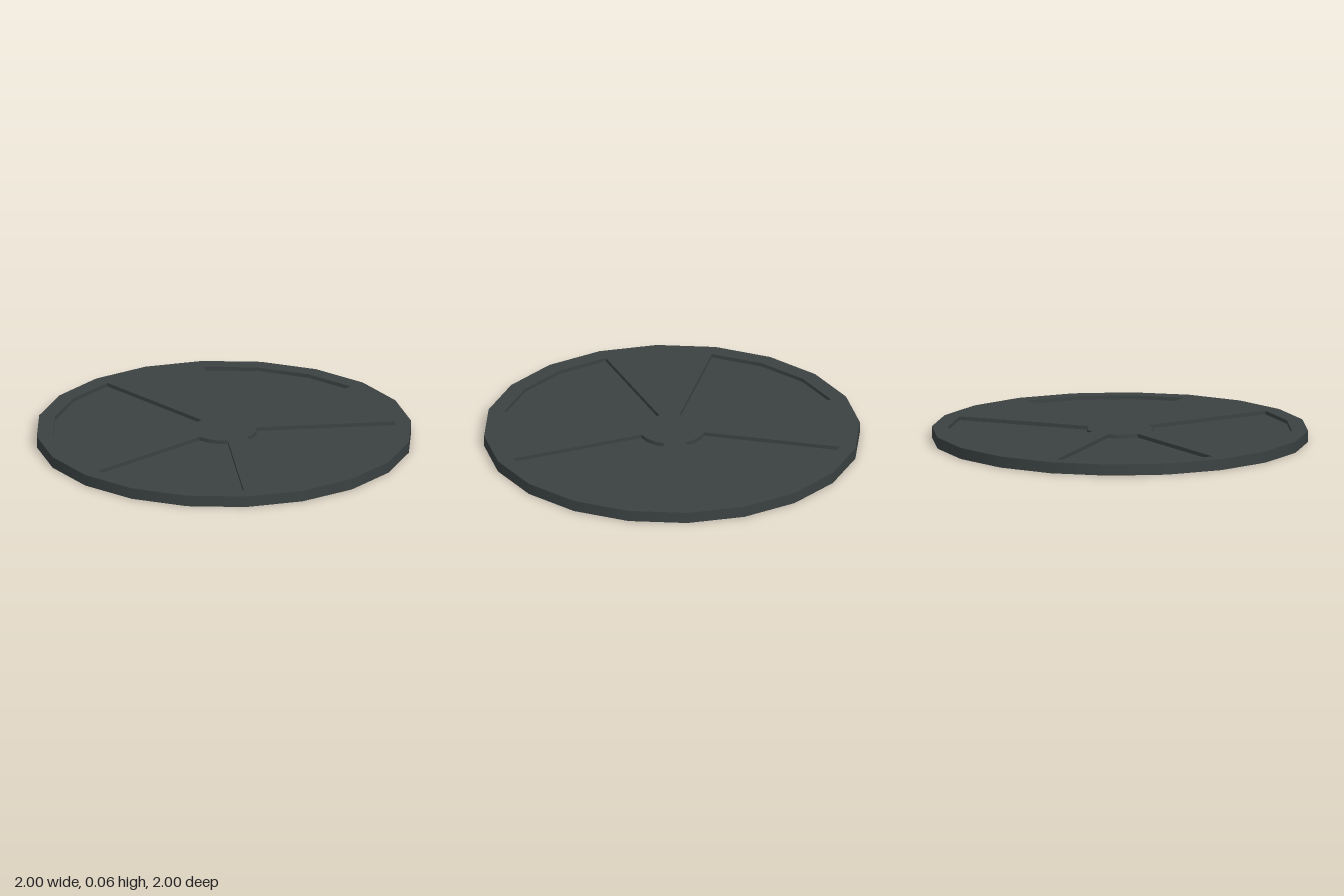
import * as THREE from 'three';
import { toCreasedNormals } from 'three/addons/utils/BufferGeometryUtils.js';

const SIDES = 20;
const STEP = (Math.PI * 2) / SIDES;
const HEIGHT = 0.06;
const POCKET_DEPTH = 0.02;
const FLOOR = HEIGHT - POCKET_DEPTH;

// Points on a ring, from one 18 degree step to another
function arc(radius, from, to) {
  const points = [];
  for (let i = from; i <= to; i++) {
    points.push(new THREE.Vector2(Math.cos(i * STEP) * radius, Math.sin(i * STEP) * radius));
  }
  return points;
}

export function createModel() {
  const group = new THREE.Group();
  group.name = 'spokedDisc';
  const darkMetal = new THREE.MeshStandardMaterial({ color: 0x3b4242 });
  darkMetal.name = 'darkMetal';

  // Solid lower disc, whose top is the floor of the pockets
  const base = new THREE.Mesh(new THREE.CylinderGeometry(1, 1, FLOOR, SIDES), darkMetal);
  base.name = 'baseDisc';
  base.position.y = FLOOR / 2;
  group.add(base);

  // Upper plate: rim, four spokes and hub left around four wedge-shaped pockets
  const outline = new THREE.Shape(arc(1, 0, SIDES - 1));
  for (let q = 0; q < 4; q++) {
    const first = q * 5 + 1;
    const last = first + 3;
    outline.holes.push(new THREE.Path([...arc(0.914, first, last), ...arc(0.175, first, last).reverse()]));
  }
  const plateGeometry = new THREE.ExtrudeGeometry(outline, { depth: POCKET_DEPTH, bevelEnabled: false });
  plateGeometry.rotateX(-Math.PI / 2);
  const plate = new THREE.Mesh(toCreasedNormals(plateGeometry, Math.PI / 6), darkMetal);
  plate.name = 'spokedPlate';
  plate.position.y = FLOOR;
  group.add(plate);

  return group;
}
